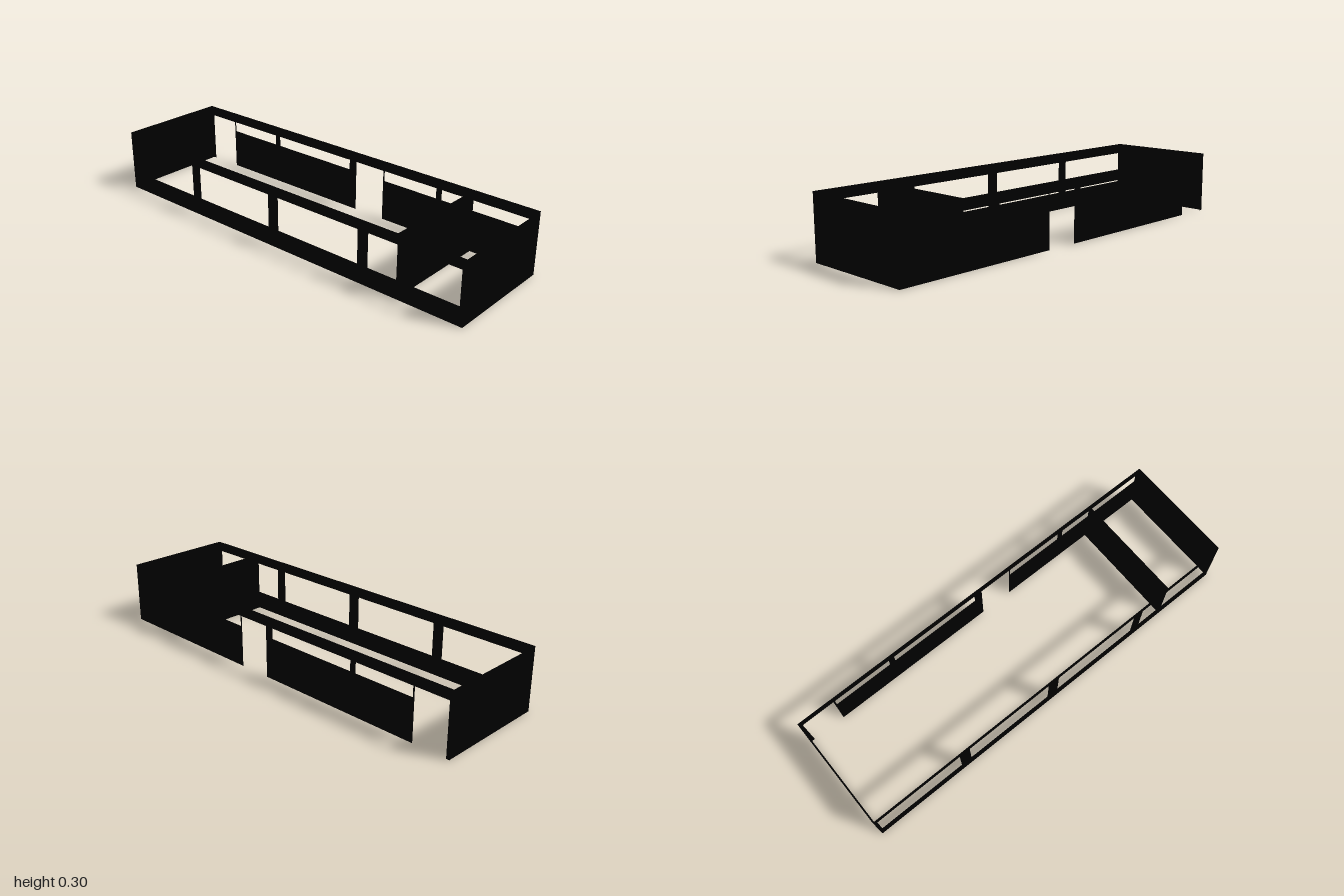
import * as THREE from 'three';

const HEIGHT = 0.3, HALF_DEPTH = 0.275, LINTEL = 0.25;

export function createModel() {
  const model = new THREE.Group();
  model.name = 'openPavilion';
  const material = new THREE.MeshStandardMaterial({ color: 0x000000, side: THREE.DoubleSide });

  const addWall = (name, geometry) => {
    const wall = new THREE.Mesh(geometry, material);
    wall.name = name;
    model.add(wall);
    return wall;
  };

  // Long sheet wall: doors are notches in the bottom edge, windows are holes
  const longWall = (windows, sill, doors = []) => {
    const shape = new THREE.Shape();
    shape.moveTo(-1, 0);
    for (const [a, b] of doors) {
      shape.lineTo(a, 0);
      shape.lineTo(a, LINTEL);
      shape.lineTo(b, LINTEL);
      shape.lineTo(b, 0);
    }
    shape.lineTo(1, 0);
    shape.lineTo(1, HEIGHT);
    shape.lineTo(-1, HEIGHT);
    shape.closePath();
    for (const [a, b] of windows) {
      const hole = new THREE.Path();
      hole.moveTo(a, sill);
      hole.lineTo(a, LINTEL);
      hole.lineTo(b, LINTEL);
      hole.lineTo(b, sill);
      hole.closePath();
      shape.holes.push(hole);
    }
    return new THREE.ShapeGeometry(shape);
  };

  // Front wall with four tall windows
  addWall('frontWall', longWall(
    [[-0.985, -0.54], [-0.485, -0.035], [0.025, 0.477], [0.532, 0.982]], 0.09
  )).position.z = HALF_DEPTH;

  // Back wall with two doorways and four high strip windows
  addWall('backWall', longWall(
    [[-0.812, -0.515], [-0.485, -0.02], [0.193, 0.485], [0.515, 0.982]], 0.2,
    [[-0.985, -0.82], [0.022, 0.185]]
  )).position.z = -HALF_DEPTH;

  // Solid cross walls: both ends and one inner partition
  for (const [name, x] of [['rightEndWall', -1], ['partitionWall', 0.68], ['leftEndWall', 1]]) {
    const wall = addWall(name, new THREE.PlaneGeometry(HALF_DEPTH * 2, HEIGHT));
    wall.rotation.y = Math.PI / 2;
    wall.position.set(x, HEIGHT / 2, 0);
  }

  return model;
}
